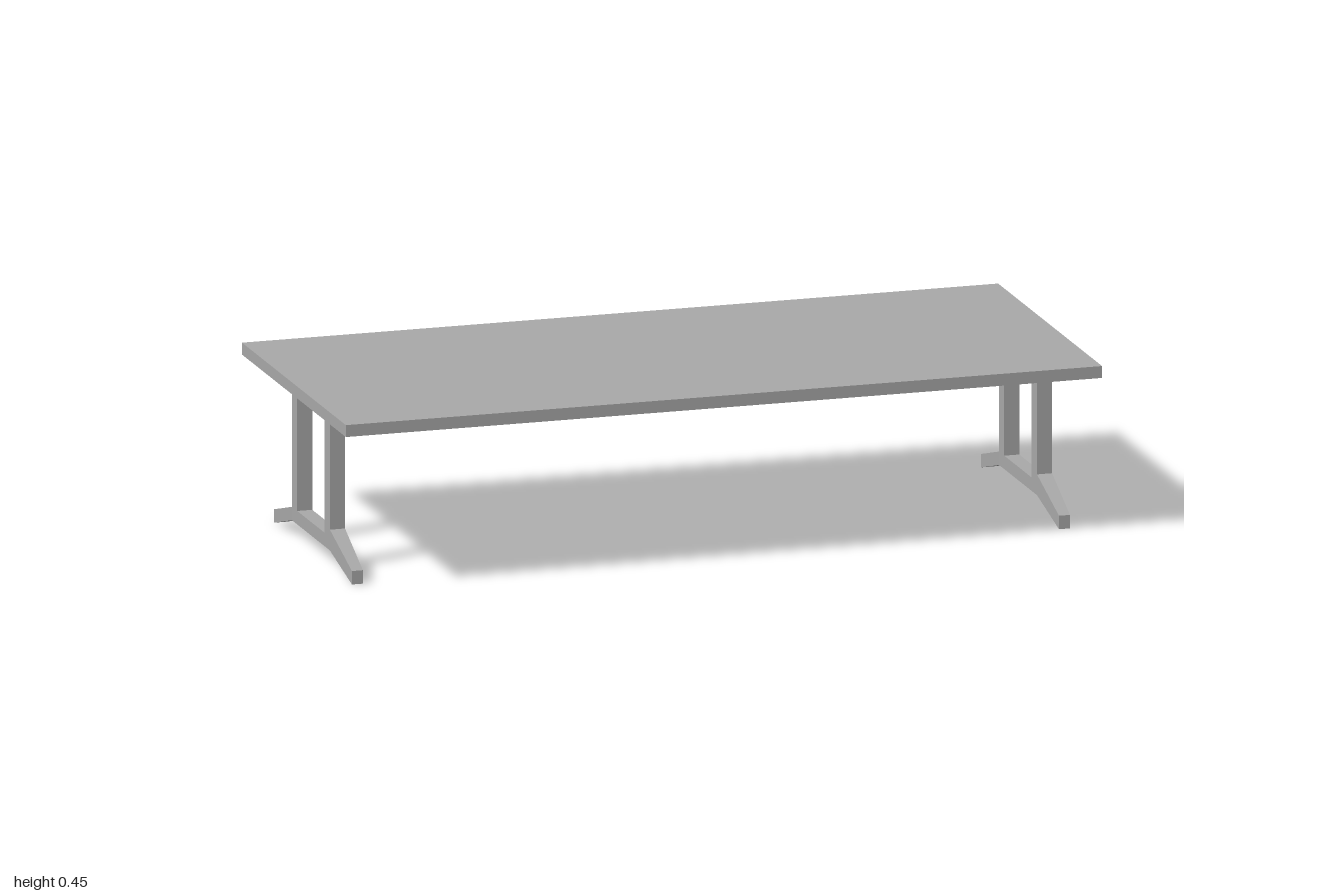
import * as THREE from 'three';

const TOP_Y = 0.446, UNDER_Y = 0.415; // tabletop faces
const LEG_HALF = 0.02, TOE_HALF = 0.0145; // half thickness in x
const BAR_Z = 0.16, TOE_Z = 0.328;

// Extrudes a [z, y] outline along x, centred on x = 0
function sidePlate(points) {
  const shape = new THREE.Shape(points.map(([z, y]) => new THREE.Vector2(z, y)));
  const geometry = new THREE.ExtrudeGeometry(shape, { depth: 2 * LEG_HALF, bevelEnabled: false });
  geometry.translate(0, 0, -LEG_HALF);
  geometry.rotateY(-Math.PI / 2);
  return geometry;
}

// Sloping foot that narrows towards the toe; side is +1 front, -1 back
function footGeometry(side, shoulderY) {
  const geometry = sidePlate([
    [side * BAR_Z, 0.048], [side * TOE_Z, 0], [side * TOE_Z, 0.035], [side * BAR_Z, shoulderY],
  ]);
  const p = geometry.attributes.position;
  for (let i = 0; i < p.count; i++) {
    const t = (Math.abs(p.getZ(i)) - BAR_Z) / (TOE_Z - BAR_Z);
    p.setX(i, p.getX(i) * THREE.MathUtils.lerp(1, TOE_HALF / LEG_HALF, t));
  }
  geometry.computeVertexNormals();
  return geometry;
}

export function createModel() {
  const grey = new THREE.MeshStandardMaterial({ color: 0xa8a8a8 });
  grey.name = 'grey';
  const model = new THREE.Group();
  model.name = 'table';

  const add = (parent, name, geometry) => {
    const mesh = new THREE.Mesh(geometry, grey);
    mesh.name = name;
    parent.add(mesh);
    return mesh;
  };

  // Tabletop slab
  const top = add(model, 'tabletop', new THREE.BoxGeometry(2, TOP_Y - UNDER_Y, 0.876));
  top.position.y = (TOP_Y + UNDER_Y) / 2;

  // Two uprights joined by a low crossbar
  const uprights = sidePlate([
    [-BAR_Z, 0.048], [BAR_Z, 0.048], [BAR_Z, UNDER_Y], [0.116, UNDER_Y],
    [0.116, 0.083], [-0.116, 0.083], [-0.116, UNDER_Y], [-BAR_Z, UNDER_Y],
  ]);
  const frontFoot = footGeometry(1, 0.102);
  const backFoot = footGeometry(-1, 0.083);

  // A trestle near each end
  for (const side of [1, -1]) {
    const trestle = new THREE.Group();
    trestle.name = side > 0 ? 'leftTrestle' : 'rightTrestle';
    add(trestle, 'uprightsAndCrossbar', uprights);
    add(trestle, 'frontFoot', frontFoot);
    add(trestle, 'backFoot', backFoot);
    trestle.position.x = side * 0.935;
    model.add(trestle);
  }
  return model;
}
